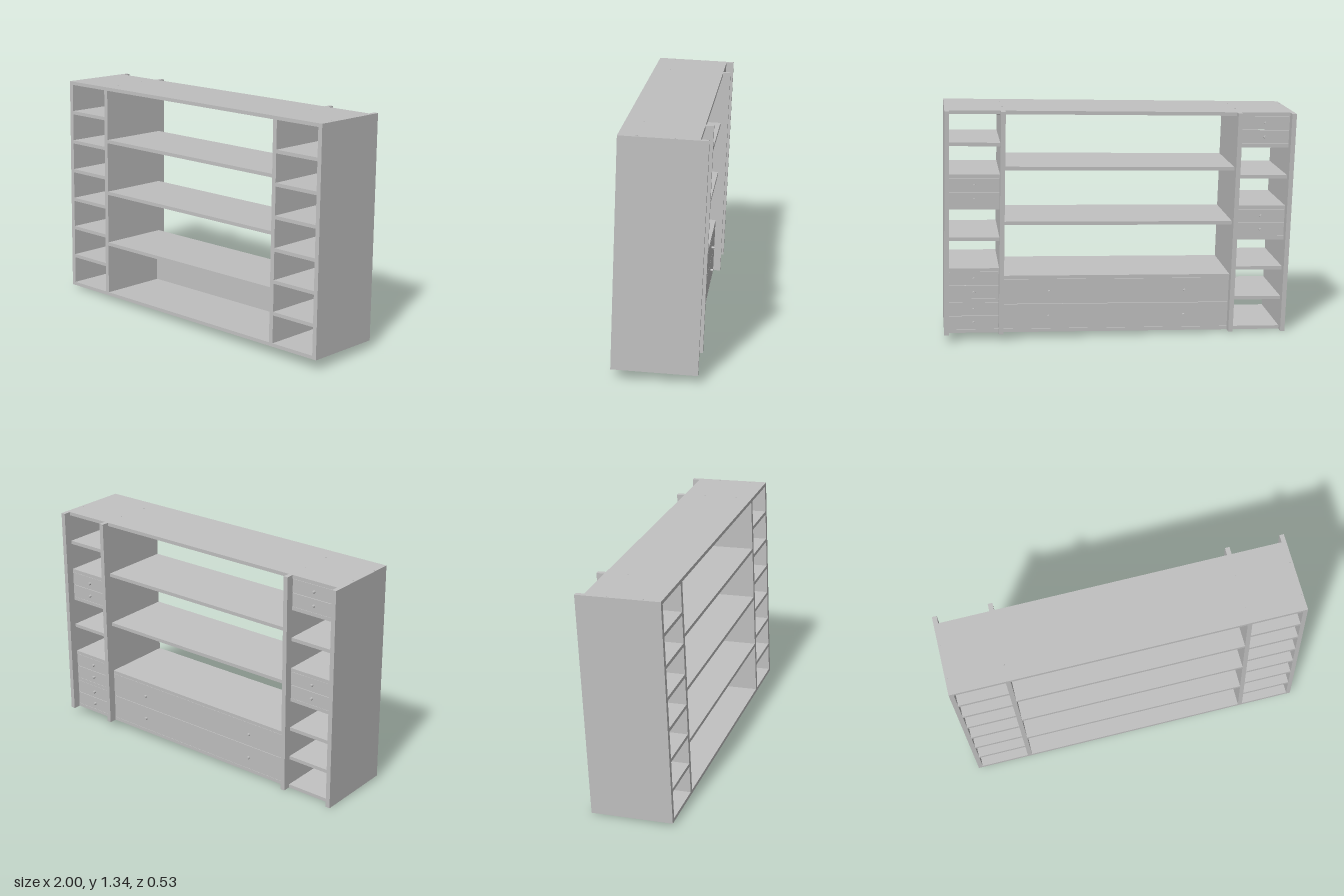
import * as THREE from 'three';

const H = 1.275, T = 0.02;               // overall height, board thickness
const FRONT = 0.2325, BACK = -0.2325;    // side panel depth range
const SHELF_BACK = -0.188;               // shelves stop short of the panel backs
const PANEL = 0.026;
const OUT = 0.97, DIV = 0.6625;          // panel centre lines

export function createModel() {
  const grey = new THREE.MeshStandardMaterial({ color: 0xc0c0c0 });
  grey.name = 'grey board';
  const unit = new THREE.Group();
  unit.name = 'shelvingUnit';

  const box = (name, x0, x1, y0, y1, z0, z1) => {
    const m = new THREE.Mesh(new THREE.BoxGeometry(x1 - x0, y1 - y0, z1 - z0), grey);
    m.position.set((x0 + x1) / 2, (y0 + y1) / 2, (z0 + z1) / 2);
    m.name = name;
    unit.add(m);
  };
  // small round part along the given axis
  const pin = (name, axis, r, len, x, y, z) => {
    const m = new THREE.Mesh(new THREE.CylinderGeometry(r, r, len, 12), grey);
    if (axis === 'x') m.rotation.z = Math.PI / 2;
    if (axis === 'z') m.rotation.x = Math.PI / 2;
    m.position.set(x, y, z);
    m.name = name;
    unit.add(m);
  };

  // upright panels with screw heads on top
  for (const x of [-OUT, -DIV, DIV, OUT]) {
    const name = Math.abs(x) === OUT ? 'sidePanel' : 'divider';
    box(name, x - PANEL / 2, x + PANEL / 2, 0, H, BACK, FRONT);
    for (const z of [-0.06, 0.135]) pin('screw', 'y', 0.004, 0.004, x, H, z);
  }

  // pair of drawer fronts closing one compartment at the back, with knobs
  const drawers = (x0, x1, y0, y1, knobs) => {
    const gap = 0.003, h = (y1 - y0) / 2;
    for (let i = 0; i < 2; i++) {
      const a = y0 + i * h;
      box('drawerFront', x0 + gap / 2, x1 - gap / 2, a + gap / 2, a + h - gap / 2,
        SHELF_BACK, SHELF_BACK + 0.016);
      for (const k of knobs) pin('knob', 'z', 0.008, 0.016, k, a + h / 2, SHELF_BACK - 0.008);
    }
  };

  // column of evenly spaced shelves; closed lists the compartments with drawers
  const column = (x0, x1, count, closed, knobs) => {
    const step = (H - T) / count;
    for (let i = 0; i <= count; i++) {
      const y = i * step;
      const name = i === 0 ? 'bottomBoard' : i === count ? 'topBoard' : 'shelf';
      box(name, x0, x1, y, y + T, SHELF_BACK, FRONT);
      // support pegs under both ends
      if (i > 0) {
        for (const z of [-0.12, 0.17]) {
          for (const x of [x0 + 0.01, x1 - 0.01]) pin('shelfPeg', 'x', 0.006, 0.02, x, y - 0.006, z);
        }
      }
    }
    for (const c of closed) drawers(x0, x1, c * step + T, (c + 1) * step, knobs);
  };
  const inner = DIV + PANEL / 2, outer = OUT - PANEL / 2, mid = (inner + outer) / 2;
  column(-outer, -inner, 7, [3, 6], [-mid]);
  column(inner, outer, 7, [0, 1, 4], [mid]);
  column(-DIV + PANEL / 2, DIV - PANEL / 2, 4, [0], [-0.39, 0.39]);

  // the whole unit leans slightly; settle it on the ground and centre it
  unit.rotation.set(-0.038, -0.011, 0.0233);
  const group = new THREE.Group();
  group.name = 'bookcase';
  group.add(unit);
  group.updateMatrixWorld(true);
  const b = new THREE.Box3().setFromObject(group, true);
  unit.position.set(-(b.min.x + b.max.x) / 2, -b.min.y, -(b.min.z + b.max.z) / 2);
  return group;
}
